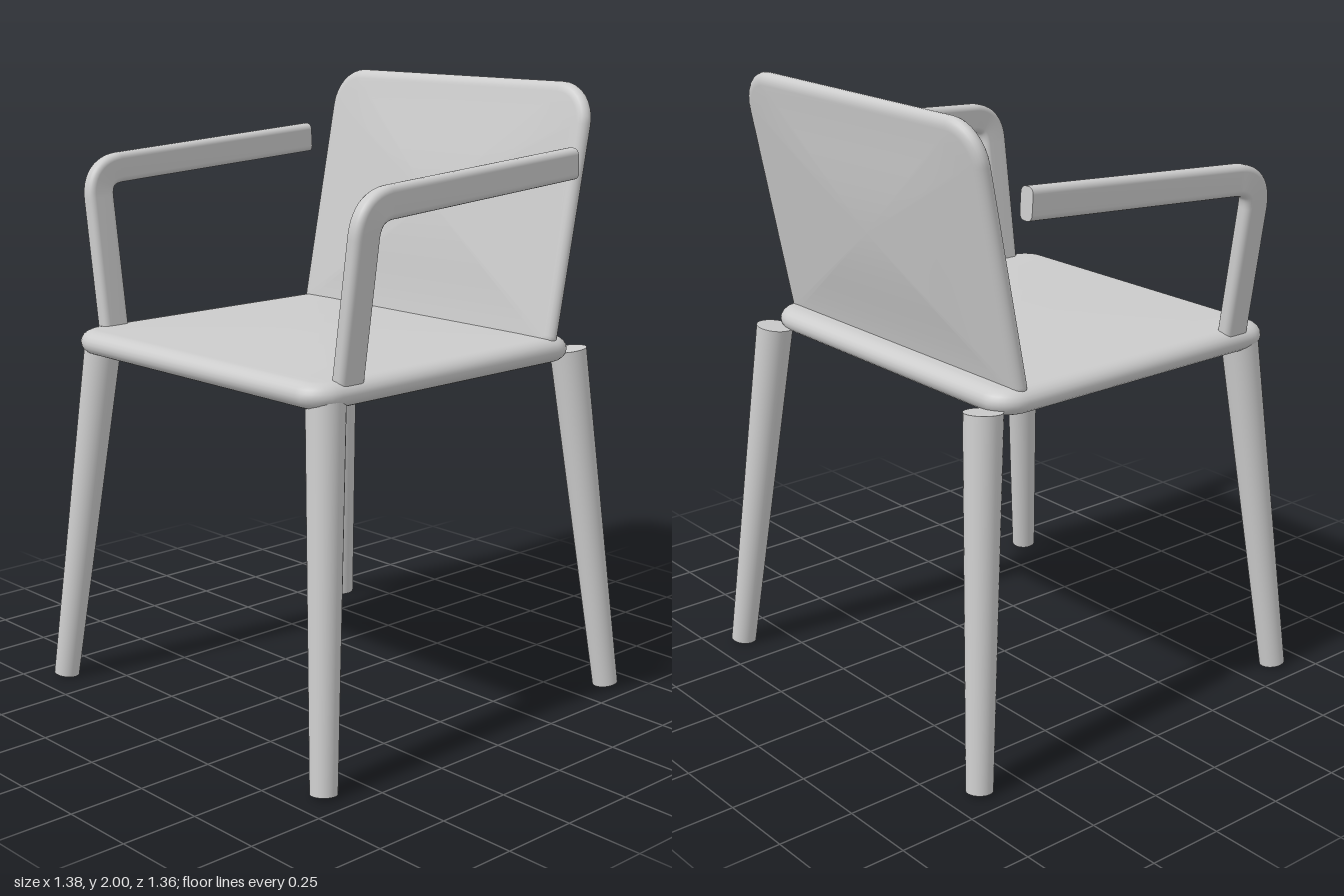
import * as THREE from 'three';

const material = new THREE.MeshStandardMaterial({ color: 0xcccccc });
const V = (x, y, z) => new THREE.Vector3(x, y, z);

function part(name, geometry) {
  const mesh = new THREE.Mesh(geometry, material);
  mesh.name = name;
  return mesh;
}

// Skin a list of equally sized closed rings
function loft(rings) {
  const n = rings[0].length, index = [];
  for (let i = 0; i < rings.length - 1; i++) {
    for (let j = 0; j < n; j++) {
      const k = (j + 1) % n;
      const a = i * n + j, b = i * n + k, c = a + n, d = b + n;
      index.push(a, c, b, b, c, d);
    }
  }
  const geometry = new THREE.BufferGeometry().setFromPoints(rings.flat());
  geometry.setIndex(index);
  geometry.computeVertexNormals();
  return geometry;
}

// Rounded rectangle outline as [x, z] pairs; the +z and -z corners have their own radii
function outline(hw, hd, rFront, rBack, inset = 0, steps = 8) {
  const points = [];
  [[1, 1, rFront], [-1, 1, rFront], [-1, -1, rBack], [1, -1, rBack]].forEach(([sx, sz, r], q) => {
    const rr = Math.max(r - inset, 0.004);
    for (let i = 0; i <= steps; i++) {
      const a = (q + i / steps) * Math.PI / 2;
      points.push([sx * (hw - inset - rr) + rr * Math.cos(a), sz * (hd - inset - rr) + rr * Math.sin(a)]);
    }
  });
  return points;
}

// Cushion-like panel: rounded rim and gently domed faces
function panel(hw, hd, rFront, rBack, rim, halfThick, dome) {
  const domeAt = (x, z) => dome * (1 - (x / (hw - rim)) ** 2) * (1 - (z / (hd - rim)) ** 2);
  const inner = outline(hw, hd, rFront, rBack, rim);
  const face = (f, side) => inner.map(([x, z]) => V(x * f, side * (halfThick + domeAt(x * f, z * f)), z * f));
  const rings = [], faceSteps = 12, rimSteps = 10;
  for (let i = 0; i < faceSteps; i++) rings.push(face(i / faceSteps, -1));
  for (let i = 0; i <= rimSteps; i++) {
    const a = (i / rimSteps - 0.5) * Math.PI;
    rings.push(outline(hw, hd, rFront, rBack, rim * (1 - Math.cos(a)))
      .map(([x, z]) => V(x, halfThick * Math.sin(a), z)));
  }
  for (let i = faceSteps - 1; i >= 0; i--) rings.push(face(i / faceSteps, 1));
  return loft(rings);
}

// Flat rounded bar: leaning post, tight bend, then a rail running back
function armGeometry(side) {
  const foot = V(side * 0.562, 1.17, 0.467), bendStart = V(side * 0.628, 1.615, 0.467);
  const corner = V(side * 0.64, 1.702, 0.467), bendEnd = V(side * 0.634, 1.71, 0.38);
  const end = V(side * 0.615, 1.76, -0.435);
  const bend = new THREE.QuadraticBezierCurve3(bendStart, corner, bendEnd);
  const stations = [[foot, bendStart.clone().sub(foot)]];
  for (let i = 0; i <= 12; i++) stations.push([bend.getPoint(i / 12), bend.getTangent(i / 12)]);
  stations.push([end, end.clone().sub(bendEnd)]);

  const section = outline(0.027, 0.049, 0.02, 0.02, 0, 5);
  const rings = stations.map(([p, t]) => {
    t.normalize();
    const b = V(1, 0, 0).addScaledVector(t, -t.x).normalize();
    const n = b.clone().cross(t);
    return section.map(([u, v]) => p.clone().addScaledVector(b, u).addScaledVector(n, v));
  });
  const cap = (p) => section.map(() => p.clone());
  const last = rings[rings.length - 1];
  return loft([cap(foot), rings[0].map((p) => p.clone()), ...rings, last.map((p) => p.clone()), cap(end)]);
}

export function createModel() {
  const chair = new THREE.Group();
  chair.name = 'armchair';

  const seat = part('seat', panel(0.605, 0.565, 0.1, 0.1, 0.05, 0.04, 0.014));
  seat.position.set(0, 1.165, 0.055);
  chair.add(seat);

  // Panel stood upright and tilted backwards
  const backrest = part('backrest', panel(0.585, 0.427, 0.05, 0.13, 0.035, 0.026, 0.023));
  backrest.position.set(0, 1.58, -0.489);
  backrest.rotation.x = Math.PI / 2 - 0.2;
  chair.add(backrest);

  for (const side of [1, -1]) {
    const label = side > 0 ? 'left' : 'right';
    chair.add(part(`${label}Armrest`, armGeometry(side)));

    // Tapered legs splayed towards the corners
    for (const front of [1, -1]) {
      const top = V(side * 0.54, 1.15, front * 0.53), bottom = V(side * 0.65, 0.006, front * 0.64);
      const axis = top.clone().sub(bottom);
      const leg = part(`${label}${front > 0 ? 'Front' : 'Back'}Leg`,
        new THREE.CylinderGeometry(0.06, 0.042, axis.length(), 32));
      leg.position.copy(top).add(bottom).multiplyScalar(0.5);
      leg.quaternion.setFromUnitVectors(V(0, 1, 0), axis.normalize());
      chair.add(leg);
    }
  }
  return chair;
}
